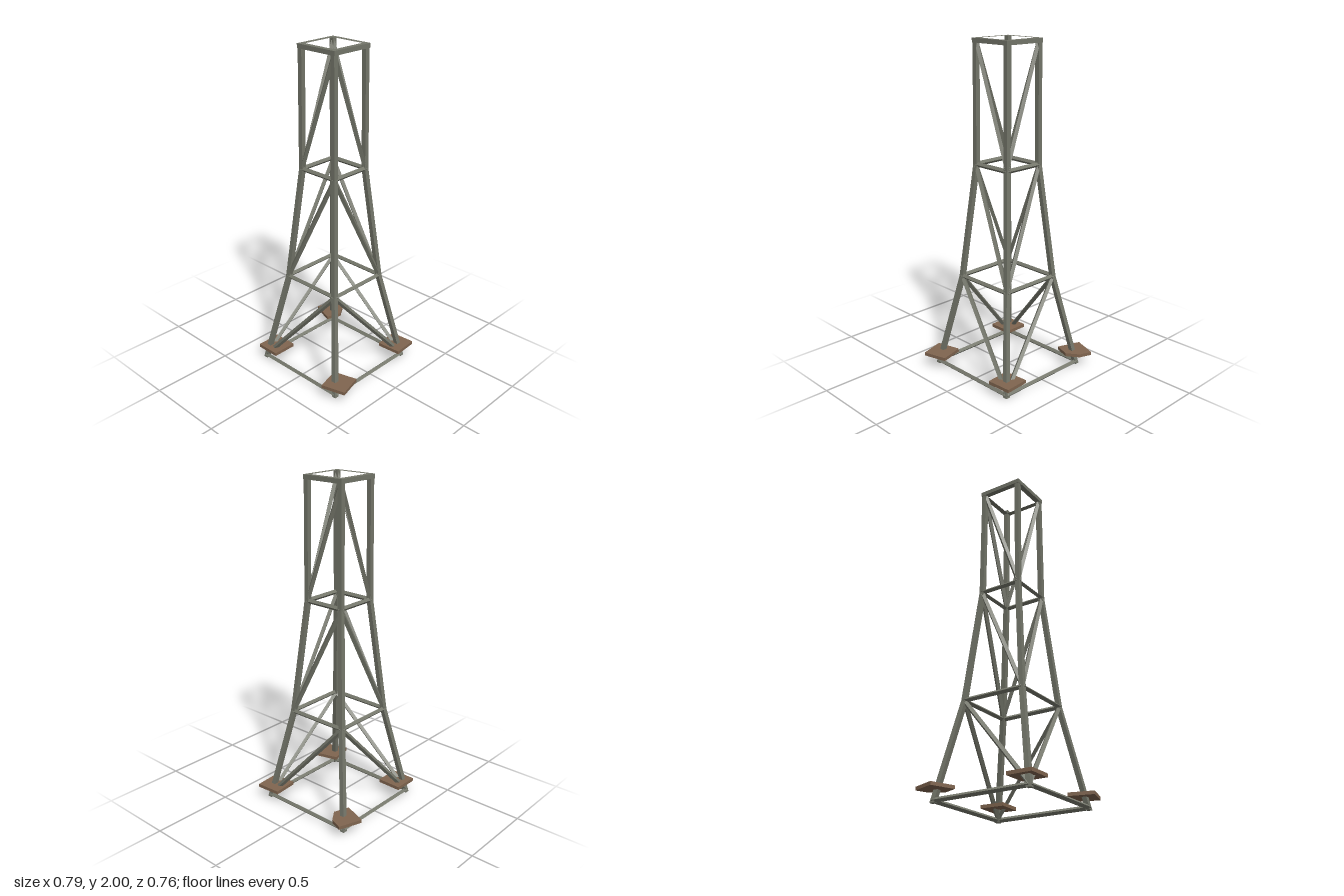
import * as THREE from 'three';

// Tower axis and, per level, the height and half width to the leg centres
const CX = -0.004, CZ = 0.01;
const LEVELS = [
  { y: 0, half: 0.301 },
  { y: 0.585, half: 0.192 },
  { y: 1.28, half: 0.127 },
  { y: 2, half: 0.123 },
];
const CORNERS = [[1, 1], [1, -1], [-1, -1], [-1, 1]];

const metal = new THREE.MeshStandardMaterial({ color: 0x74766a, flatShading: true });
const wood = new THREE.MeshStandardMaterial({ color: 0x80654f, flatShading: true });

function addMesh(parent, name, geometry, material) {
  const mesh = new THREE.Mesh(geometry, material);
  mesh.name = name;
  parent.add(mesh);
  return mesh;
}

// Four-sided bar between two points; roll turns it about its own axis
function addBar(parent, name, a, b, width, height, roll = 0) {
  const geometry = new THREE.BoxGeometry(width, height, a.distanceTo(b));
  geometry.rotateZ(roll);
  const bar = addMesh(parent, name, geometry, metal);
  bar.position.copy(a).lerp(b, 0.5);
  bar.lookAt(b);
}

// Leg: square bar bent to follow the level widths
function legGeometry([sx, sz]) {
  const geometry = new THREE.BoxGeometry(0.028, 3, 0.028, 1, 3, 1);
  const p = geometry.attributes.position;
  for (let i = 0; i < p.count; i++) {
    const { y, half } = LEVELS[Math.round(p.getY(i) + 1.5)];
    p.setXYZ(i, p.getX(i) + CX + sx * half, y, p.getZ(i) + CZ + sz * half);
  }
  geometry.computeVertexNormals();
  return geometry;
}

// Flat footing plate from an outline of [x, z] points
function plateGeometry(outline) {
  const shape = new THREE.Shape(outline.map(([x, z]) => new THREE.Vector2(x, -z)));
  const geometry = new THREE.ExtrudeGeometry(shape, { depth: 0.02, bevelEnabled: false });
  geometry.rotateX(-Math.PI / 2);
  geometry.translate(0, 0.071, 0);
  return geometry;
}

export function createModel() {
  const tower = new THREE.Group();
  tower.name = 'latticeTower';

  const point = ([sx, sz], half, y) => new THREE.Vector3(CX + sx * half, y, CZ + sz * half);

  // Corner legs
  for (const corner of CORNERS) addMesh(tower, 'leg', legGeometry(corner), metal);

  // Horizontal rings at the base and the two middle levels
  const rings = [[0.303, 0.0145], [0.195, 0.585], [0.129, 1.28]];
  for (const [half, y] of rings) {
    CORNERS.forEach((corner, i) => {
      const next = CORNERS[(i + 1) % 4];
      addBar(tower, 'ringBar', point(corner, half, y), point(next, half, y), 0.0205, 0.0205, Math.PI / 4);
    });
  }

  // Flat mitred frame at the top
  const square = (r) => CORNERS.map(([x, z]) => new THREE.Vector2(x * r, z * r));
  const frame = new THREE.Shape(square(0.14));
  frame.holes.push(new THREE.Path(square(0.108)));
  const frameGeometry = new THREE.ExtrudeGeometry(frame, { depth: 0.026, bevelEnabled: false });
  frameGeometry.rotateX(-Math.PI / 2);
  frameGeometry.translate(CX, 1.974, CZ);
  addMesh(tower, 'topFrame', frameGeometry, metal);

  // One diagonal per side and section, rising to the same two opposite corners
  const sections = [[0.299, 0.02, 0.192, 0.58], [0.192, 0.59, 0.128, 1.275], [0.127, 1.285, 0.122, 1.98]];
  for (const [lowHalf, lowY, highHalf, highY] of sections) {
    for (const high of [CORNERS[0], CORNERS[2]]) {
      for (const low of [CORNERS[1], CORNERS[3]]) {
        addBar(tower, 'diagonalBrace', point(low, lowHalf, lowY), point(high, highHalf, highY), 0.021, 0.021, Math.PI / 4);
      }
    }
  }

  // Footing plates, each turned a little differently
  const plates = [
    [[-0.336, 0.193], [-0.186, 0.193], [-0.186, 0.344], [-0.336, 0.344]],
    [[0.19, -0.341], [0.342, -0.352], [0.352, -0.201], [0.201, -0.19]],
    [[0.21, 0.229], [0.355, 0.19], [0.395, 0.335], [0.25, 0.376]],
    [[-0.348, -0.38], [-0.272, -0.352], [-0.222, -0.28], [-0.256, -0.187], [-0.398, -0.238]],
  ];
  for (const outline of plates) addMesh(tower, 'footingPlate', plateGeometry(outline), wood);

  return tower;
}
